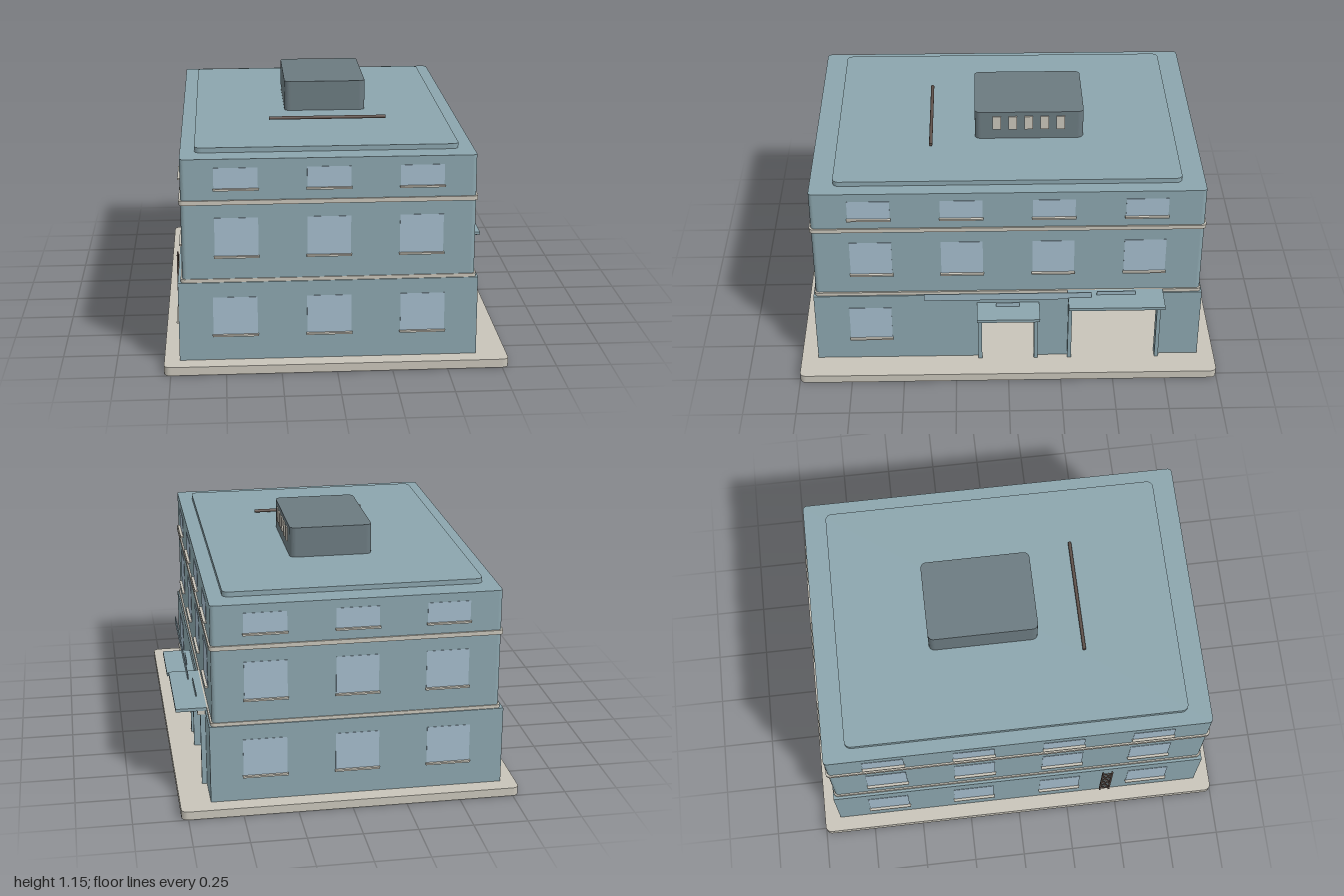
import * as THREE from 'three';

const mat = (name, color) => {
  const m = new THREE.MeshStandardMaterial({ color });
  m.name = name;
  return m;
};

export function createModel() {
  const model = new THREE.Group();
  model.name = 'officeBuilding';
  const wall = mat('wallBlue', 0x8ba5ad);
  const stone = mat('stoneBeige', 0xc8c4b9);
  const glass = mat('windowGlass', 0xa4bbcb);
  const roofUnit = mat('roofUnitGrey', 0x6b7a80);
  const sign = mat('signBlue', 0x9ab4c0);
  const metal = mat('darkMetal', 0x5e5049);

  const add = (name, geo, material, parent = model) => {
    const m = new THREE.Mesh(geo, material);
    m.name = name;
    parent.add(m);
    return m;
  };
  // box given by its limits on each axis
  const box = (name, material, x0, x1, y0, y1, z0, z1, parent) => {
    const g = new THREE.BoxGeometry(x1 - x0, y1 - y0, z1 - z0);
    g.translate((x0 + x1) / 2, (y0 + y1) / 2, (z0 + z1) / 2);
    return add(name, g, material, parent);
  };
  // upright block with rounded vertical corners
  const block = (name, material, x0, x1, y0, y1, z0, z1, r) => {
    const s = new THREE.Shape();
    s.absarc(x1 - r, -z0 - r, r, 0, Math.PI / 2);
    s.absarc(x0 + r, -z0 - r, r, Math.PI / 2, Math.PI);
    s.absarc(x0 + r, -z1 + r, r, Math.PI, Math.PI * 1.5);
    s.absarc(x1 - r, -z1 + r, r, Math.PI * 1.5, Math.PI * 2);
    const g = new THREE.ExtrudeGeometry(s, { depth: y1 - y0, bevelEnabled: false, curveSegments: 4 });
    g.rotateX(-Math.PI / 2).translate(0, y0, 0);
    return add(name, g, material);
  };

  // pavement and upper storeys
  block('pavement', stone, -0.78, 0.78, 0, 0.04, -1, 1, 0.03);
  block('floorBand', stone, -0.697, 0.633, 0.41, 0.426, -0.915, 0.915, 0.02);
  block('upperStoreys', wall, -0.69, 0.625, 0.426, 0.98, -0.91, 0.91, 0.02);
  block('corniceBand', stone, -0.698, 0.633, 0.772, 0.792, -0.918, 0.918, 0.022);
  block('roofSlab', wall, -0.625, 0.557, 0.98, 1.003, -0.803, 0.803, 0.03);

  // hollow ground floor
  const t = 0.03, top = 0.41, Z = 0.92, L = -0.71, R = 0.64;
  box('groundFrontWall', wall, L, R, 0.04, top, Z - t, Z);
  box('groundBackWall', wall, L, R, 0.04, top, -Z, -Z + t);
  box('groundRightWall', wall, L, L + t, 0.04, top, -Z + t, Z - t);
  // entrance side wall, notched by two doorways
  const doors = [
    { z0: -0.125, z1: 0.125, h: 0.328, canopy: 0.348 },
    { z0: -0.71, z1: -0.305, h: 0.39, canopy: 0.411 },
  ];
  const side = new THREE.Shape();
  side.moveTo(Z - t, 0.04);
  side.lineTo(Z - t, top);
  side.lineTo(-Z + t, top);
  side.lineTo(-Z + t, 0.04);
  for (const d of [doors[1], doors[0]]) {
    side.lineTo(d.z0, 0.04);
    side.lineTo(d.z0, d.h);
    side.lineTo(d.z1, d.h);
    side.lineTo(d.z1, 0.04);
  }
  const sideGeo = new THREE.ExtrudeGeometry(side, { depth: t, bevelEnabled: false });
  sideGeo.rotateY(-Math.PI / 2).translate(R, 0, 0);
  add('entranceWall', sideGeo, wall);

  // door frames and canopies
  for (const d of doors) {
    const g = new THREE.Group();
    g.name = 'entrance';
    model.add(g);
    box('doorJamb', wall, 0.63, 0.663, 0.04, d.h, d.z0 - 0.018, d.z0, g);
    box('doorJamb', wall, 0.63, 0.663, 0.04, d.h, d.z1, d.z1 + 0.018, g);
    box('lintel', stone, 0.63, 0.675, d.h, d.canopy, d.z0 - 0.018, d.z1 + 0.018, g);
    box('canopy', wall, 0.63, 0.775, d.canopy, d.canopy + 0.015, d.z0 - 0.023, d.z1 + 0.023, g);
    for (let i = 0; i < 3; i++) {
      const x = 0.695 + i * 0.03;
      box('canopySlat', wall, x, x + 0.006, d.canopy - 0.005, d.canopy, d.z0 - 0.015, d.z1 + 0.015, g);
    }
  }
  // blank sign plates above the entrances
  box('longSign', sign, 0.688, 0.692, 0.418, 0.455, -0.392, 0.395);
  box('smallSign', sign, 0.668, 0.672, 0.363, 0.385, -0.053, 0.058);
  box('smallSign', sign, 0.668, 0.672, 0.426, 0.445, -0.6, -0.418);

  // window with sill, facing +z before it is turned
  const windowAt = (x, z, angle, y0, y1, w) => {
    const g = new THREE.Group();
    g.name = 'window';
    g.position.set(x, 0, z);
    g.rotation.y = angle;
    box('glass', glass, -w / 2, w / 2, y0, y1, -0.002, 0.002, g);
    box('sill', stone, -w / 2 - 0.004, w / 2 + 0.004, y0 - 0.005, y0 + 0.003, -0.004, 0.015, g);
    model.add(g);
  };
  const storeys = [
    { y0: 0.16, y1: 0.34, w: 0.2, xs: [-0.455, -0.032, 0.39], zs: [-0.655, -0.225, 0.21, 0.655], l: L, r: R, z: Z },
    { y0: 0.53, y1: 0.71, w: 0.195, xs: [-0.445, -0.032, 0.382], zs: [-0.64, -0.212, 0.215, 0.64], l: -0.69, r: 0.625, z: 0.91 },
    { y0: 0.843, y1: 0.94, w: 0.195, xs: [-0.445, -0.032, 0.382], zs: [-0.64, -0.212, 0.215, 0.64], l: -0.69, r: 0.625, z: 0.91 },
  ];
  storeys.forEach((s, level) => {
    for (const x of s.xs) {
      windowAt(x, s.z, 0, s.y0, s.y1, s.w);
      windowAt(x, -s.z, Math.PI, s.y0, s.y1, s.w);
    }
    s.zs.forEach((z, i) => {
      windowAt(s.l, z, -Math.PI / 2, s.y0, s.y1, s.w);
      if (level > 0 || i === 3) windowAt(s.r, z, Math.PI / 2, s.y0, s.y1, s.w);
    });
  });

  // rooftop plant room with vents, and rail
  block('plantRoom', roofUnit, -0.197, 0.192, 1.003, 1.146, -0.368, 0.148, 0.028);
  for (let i = 0; i < 5; i++) {
    const z = 0.045 - i * 0.076;
    box('vent', stone, 0.19, 0.198, 1.055, 1.124, z - 0.02, z + 0.02);
  }
  const rail = new THREE.CylinderGeometry(0.008, 0.008, 0.55, 12);
  rail.rotateZ(Math.PI / 2).translate(-0.004, 1.02, 0.357);
  add('roofRail', rail, metal);

  // wall ladder
  const ladder = new THREE.Group();
  ladder.name = 'ladder';
  model.add(ladder);
  for (const z of [0.425, 0.471]) box('ladderRail', metal, -0.726, -0.718, 0.07, 0.387, z - 0.004, z + 0.004, ladder);
  for (let i = 0; i < 9; i++) {
    const y = 0.09 + i * 0.034;
    box('ladderRung', metal, -0.725, -0.719, y, y + 0.006, 0.425, 0.471, ladder);
  }
  return model;
}
